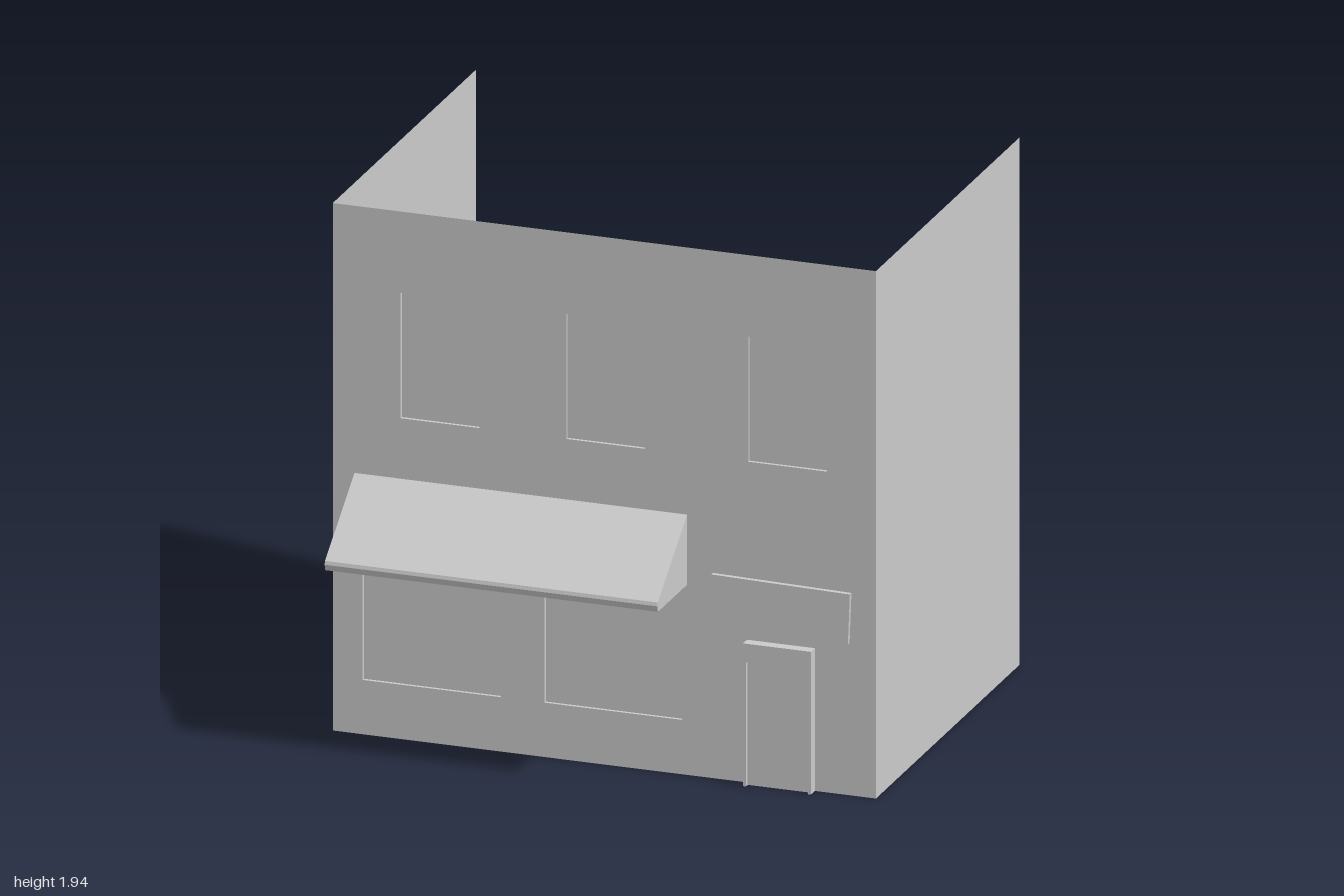
import * as THREE from 'three';

const grey = new THREE.MeshStandardMaterial({ color: 0xcccccc, side: THREE.DoubleSide, flatShading: true });
const WALL_Z = 0.57, BACK_Z = -0.87, HEIGHT = 1.94;

// Windows: left, right, bottom, top
const windows = [
  [-0.75, -0.46, 1.18, 1.64], [-0.14, 0.15, 1.18, 1.64], [0.53, 0.82, 1.18, 1.64],
  [-0.89, -0.38, 0.2, 0.665], [-0.22, 0.285, 0.2, 0.665],
];

const polygon = (points, Type = THREE.Shape) => new Type(points.map(([x, y]) => new THREE.Vector2(x, y)));
const corners = ([l, r, b, t]) => [[l, b], [r, b], [r, t], [l, t]];

function add(parent, name, geometry, x = 0, y = 0, z = 0) {
  const mesh = new THREE.Mesh(geometry, grey);
  mesh.name = name;
  mesh.position.set(x, y, z);
  parent.add(mesh);
  return mesh;
}

// Box given by its limits on each axis
function block(parent, name, x0, x1, y0, y1, z0, z1) {
  return add(parent, name, new THREE.BoxGeometry(x1 - x0, y1 - y0, z1 - z0),
    (x0 + x1) / 2, (y0 + y1) / 2, (z0 + z1) / 2);
}

function subgroup(parent, name) {
  const g = new THREE.Group();
  g.name = name;
  parent.add(g);
  return g;
}

export function createModel() {
  const model = new THREE.Group();
  model.name = 'shopBuilding';

  // Front wall with window openings
  const front = polygon(corners([-1, 1, 0, HEIGHT]));
  front.holes = windows.map((w) => polygon(corners(w).reverse(), THREE.Path));
  add(model, 'frontWall', new THREE.ShapeGeometry(front), 0, 0, WALL_Z);

  // Thin side walls; the back and top stay open
  for (const side of [-1, 1]) {
    const wall = add(model, side > 0 ? 'leftWall' : 'rightWall',
      new THREE.PlaneGeometry(WALL_Z - BACK_Z, HEIGHT), side, HEIGHT / 2, (WALL_Z + BACK_Z) / 2);
    wall.rotation.y = side * Math.PI / 2;
  }

  // Shallow window recesses: boxes without their front face
  const depth = 0.012;
  for (const w of windows) {
    const recess = block(model, 'windowRecess', ...w, WALL_Z - depth, WALL_Z);
    const index = Array.from(recess.geometry.index.array);
    index.splice(24, 6);
    recess.geometry.setIndex(index);
  }

  // Awning: folded sheet with two ends, open below and behind
  const awning = subgroup(model, 'awning');
  const profile = [[0.556, 0.968], [0.866, 0.735], [0.87, 0.722], [0.864, 0.7]]; // z, y
  const [x0, x1] = [-0.92, 0.305];
  const sheet = new THREE.PlaneGeometry(x1 - x0, 1, 1, profile.length - 1);
  const pos = sheet.attributes.position;
  for (let i = 0; i < pos.count; i++) {
    const [z, y] = profile[Math.floor(i / 2)];
    pos.setXYZ(i, pos.getX(i), y, z);
  }
  const folded = sheet.toNonIndexed();
  folded.computeVertexNormals();
  add(awning, 'awningCover', folded, (x0 + x1) / 2);

  const endShape = polygon([...profile, [0.556, 0.7]].map(([z, y]) => [-z, y]));
  for (const x of [x0, x1]) {
    add(awning, 'awningEnd', new THREE.ShapeGeometry(endShape), x).rotation.y = Math.PI / 2;
  }

  // Slightly crooked sign board
  const board = polygon([[0.4, 0.57], [0.903, 0.56], [0.91, 0.745], [0.4, 0.755]]);
  add(model, 'signBoard', new THREE.ExtrudeGeometry(board, { depth: 0.021, bevelEnabled: false }), 0, 0, 0.566);

  // Doorway: posts, lintel and a panel set a little behind the frame
  const door = subgroup(model, 'doorway');
  block(door, 'doorPost', 0.525, 0.536, 0, 0.525, 0.558, 0.61);
  block(door, 'doorPost', 0.764, 0.775, 0, 0.525, 0.558, 0.61);
  block(door, 'doorLintel', 0.536, 0.764, 0.456, 0.525, WALL_Z + 0.002, 0.61);
  block(door, 'doorHead', 0.536, 0.764, 0.519, 0.525, 0.558, WALL_Z + 0.002);
  block(door, 'doorPanel', 0.536, 0.764, 0, 0.456, WALL_Z + 0.002, 0.592);

  return model;
}
